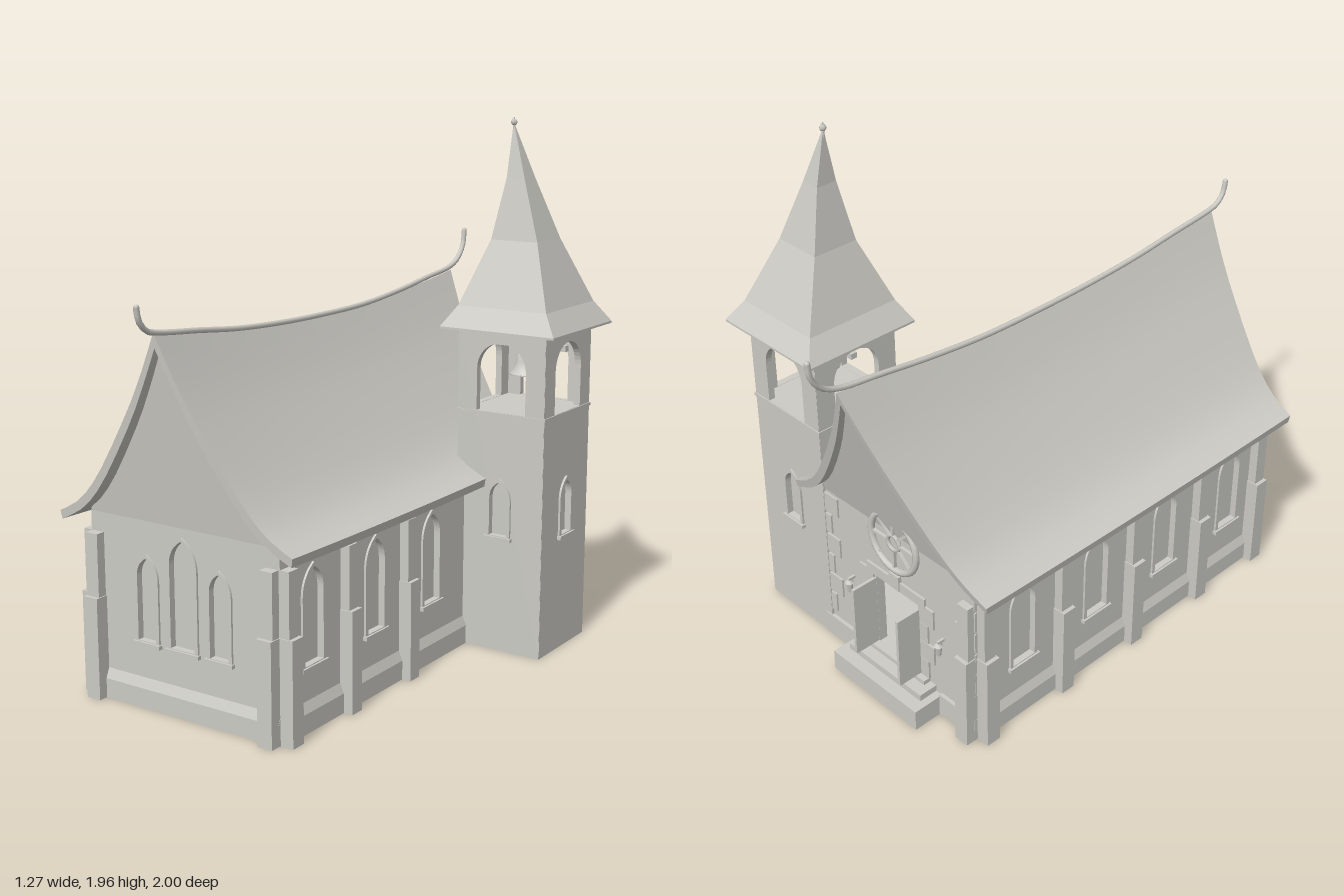
import * as THREE from 'three';
import { toCreasedNormals } from 'three/addons/utils/BufferGeometryUtils.js';

const stone = new THREE.MeshStandardMaterial({ color: 0xcccbc5 });
stone.name = 'pale stone';
const CX = -0.145; // nave centre line

function add(parent, name, geo, x = 0, y = 0, z = 0) {
  const m = new THREE.Mesh(geo, stone);
  m.name = name;
  m.position.set(x, y, z);
  parent.add(m);
  return m;
}
const box = (p, name, w, h, d, x, y, z) => add(p, name, new THREE.BoxGeometry(w, h, d), x, y, z);
const extrude = (shape, depth) =>
  new THREE.ExtrudeGeometry(shape, { depth, bevelEnabled: false, curveSegments: 10 });

// Closed skin over a row of rings; ends are closed by strips
function loft(rings) {
  const pos = [];
  const quad = (a, b, c, d) => pos.push(...a, ...b, ...c, ...a, ...c, ...d);
  const m = rings[0].length;
  for (let j = 0; j < rings.length - 1; j++)
    for (let i = 0; i < m; i++) {
      const k = (i + 1) % m;
      quad(rings[j][i], rings[j][k], rings[j + 1][k], rings[j + 1][i]);
    }
  const first = rings[0], last = rings[rings.length - 1];
  for (let i = 0; i < m / 2 - 1; i++) {
    quad(last[i], last[i + 1], last[m - 2 - i], last[m - 1 - i]);
    quad(first[m - 1 - i], first[m - 2 - i], first[i + 1], first[i]);
  }
  const g = new THREE.BufferGeometry();
  g.setAttribute('position', new THREE.Float32BufferAttribute(pos, 3));
  g.computeVertexNormals();
  return g;
}

// Pointed-arch outline standing on (x, y)
function lancet(x, y, w, h, Type = THREE.Shape) {
  const s = new Type(), r = w / 2;
  s.moveTo(x - r, y);
  s.lineTo(x + r, y);
  s.lineTo(x + r, y + h - 0.85 * w);
  s.quadraticCurveTo(x + r, y + h - 0.3 * w, x, y + h);
  s.quadraticCurveTo(x - r, y + h - 0.3 * w, x - r, y + h - 0.85 * w);
  s.closePath();
  return s;
}

function rect(x0, y0, x1, y1, Type = THREE.Shape) {
  return new Type([[x0, y0], [x1, y0], [x1, y1], [x0, y1]].map(p => new THREE.Vector2(...p)));
}

// Wall whose outer face looks along local +z; windows are [x, y, w, h]
function wall(parent, name, w, h, { windows = [], holes = [], plinth = false, thick = 0.035 }, x, z, rot) {
  const g = new THREE.Group();
  g.name = name;
  g.position.set(x, 0, z);
  g.rotation.y = rot;
  parent.add(g);
  const shape = rect(-w / 2, 0, w / 2, h);
  shape.holes.push(...holes);
  const e = 0.014;
  for (const [wx, wy, ww, wh] of windows) {
    shape.holes.push(lancet(wx, wy + e, ww - 2 * e, wh - 2 * e, THREE.Path));
    const frame = lancet(wx, wy, ww, wh);
    frame.holes.push(lancet(wx, wy + e, ww - 2 * e, wh - 2 * e, THREE.Path));
    add(g, 'windowFrame', extrude(frame, 0.008));
    add(g, 'windowPane', extrude(lancet(wx, wy, ww, wh), 0.005), 0, 0, -0.022);
    box(g, 'windowSill', ww + 0.012, 0.014, 0.016, wx, wy + 0.004, 0.008);
  }
  add(g, name + 'Panel', extrude(shape, thick), 0, 0, -thick);
  if (plinth) {
    const p = new THREE.Shape([[0, 0], [0.015, 0], [0.015, 0.07], [0, 0.105]].map(q => new THREE.Vector2(...q)));
    add(g, 'plinth', extrude(p, w).rotateY(-Math.PI / 2), w / 2, 0, 0);
  }
  return g;
}

// Two-stage buttress standing on the outer face of a wall group
function buttress(g, x) {
  box(g, 'buttressLower', 0.058, 0.365, 0.065, x, 0.1825, 0.0175);
  box(g, 'buttressUpper', 0.05, 0.225, 0.05, x, 0.4775, 0.01);
}

function nave(root) {
  const H = 0.66, half = 0.4, zF = 0.805, zB = -0.68;
  const front = wall(root, 'frontWall', 2 * half, H, {
    plinth: true,
    windows: [[0, 0.225, 0.13, 0.405], [-0.155, 0.225, 0.105, 0.32], [0.155, 0.225, 0.105, 0.32]],
  }, CX, zF, 0);
  const mid = (zF + zB) / 2, len = zF - zB - 0.02;
  const bays = [0.63, 0.265, -0.1, -0.465];
  const piers = [0.78, 0.445, 0.08, -0.285, -0.652];
  for (const s of [1, -1]) {
    const n = s > 0 ? 3 : 4;
    const side = wall(root, s > 0 ? 'leftWall' : 'rightWall', len, H, {
      plinth: true,
      windows: bays.slice(0, n).map(z => [-s * (z - mid), 0.215, 0.13, 0.36]),
    }, CX + s * half, mid, s * Math.PI / 2);
    piers.slice(0, n + (s < 0 ? 1 : 0)).forEach(z => buttress(side, -s * (z - mid)));
    buttress(front, s * 0.37);
  }
  const back = wall(root, 'backWall', 2 * half, H, {
    holes: [rect(-0.11, 0.12, 0.11, 0.43, THREE.Path)],
  }, CX, zB, Math.PI);
  buttress(back, 0.37);
  for (const s of [1, -1]) {
    // Open door leaves, stone blocks and lanterns
    box(back, 'doorLeaf', 0.012, 0.285, 0.105, s * 0.116, 0.268, 0.053);
    for (let i = 0; i < 4; i++)
      box(back, 'doorQuoin', i % 2 ? 0.075 : 0.045, 0.078, 0.012, s * (i % 2 ? 0.155 : 0.14), 0.16 + i * 0.08, 0.002);
    for (let i = 0; i < 6; i++)
      box(back, 'cornerQuoin', i % 2 ? 0.1 : 0.06, 0.08, 0.012, s * (i % 2 ? 0.35 : 0.37), 0.16 + i * 0.09, 0.001);
    box(back, 'lanternBracket', 0.01, 0.01, 0.03, s * 0.235, 0.345, 0.014);
    add(back, 'lantern', new THREE.CylinderGeometry(0.014, 0.009, 0.04, 6), s * 0.235, 0.31, 0.024);
    add(back, 'lanternCap', new THREE.ConeGeometry(0.018, 0.018, 6), s * 0.235, 0.339, 0.024);
    box(back, 'plinthStub', 0.18, 0.09, 0.02, s * 0.31, 0.045, 0.004);
  }
  box(back, 'lintel', 0.3, 0.04, 0.014, 0, 0.45, 0.002);
  box(back, 'keystone', 0.05, 0.06, 0.02, 0, 0.465, 0.004);
  // Rose window
  add(back, 'roseRing', new THREE.TorusGeometry(0.115, 0.013, 8, 32), 0, 0.63, 0.006);
  add(back, 'roseHub', new THREE.TorusGeometry(0.03, 0.008, 6, 16), 0, 0.63, 0.006);
  for (let i = 0; i < 8; i++) {
    const a = i * Math.PI / 4;
    box(back, 'roseSpoke', 0.085, 0.01, 0.016, Math.cos(a) * 0.072, 0.63 + Math.sin(a) * 0.072, 0.004).rotation.z = a;
  }
  // Entrance steps and floor
  [[0.44, 0.08, 0.125], [0.38, 0.105, 0.075], [0.32, 0.122, 0.03]].forEach(([w, h, d]) =>
    box(back, 'step', w, h, d, 0, h / 2, d / 2));
  box(root, 'floor', 0.77, 0.01, 1.45, CX, 0.115, mid);

  // Gables lean outward under the roof ends
  const gable = new THREE.Shape([[-0.4, H], [0.4, H], [0.39, 0.685], [0.27, 0.81], [0.14, 1.005], [0.065, 1.15],
    [0, 1.285], [-0.065, 1.15], [-0.14, 1.005], [-0.27, 0.81], [-0.39, 0.685]].map(p => new THREE.Vector2(...p)));
  for (const [g, lean] of [[front, 0.13], [back, 0.28]]) {
    const geo = extrude(gable, 0.03), p = geo.attributes.position;
    for (let i = 0; i < p.count; i++) p.setZ(i, p.getZ(i) - 0.03 + lean * (p.getY(i) - H));
    geo.computeVertexNormals();
    add(g, 'gable', geo);
  }
}

function naveRoof(root) {
  // Half profiles from ridge to eave, as [distance from centre, height]
  const curve = pts => new THREE.SplineCurve(pts.map(p => new THREE.Vector2(...p))).getPoints(12);
  const top = curve([[0, 1.325], [0.075, 1.17], [0.155, 1.03], [0.29, 0.825], [0.39, 0.715], [0.49, 0.657]]);
  const low = curve([[0, 1.275], [0.06, 1.15], [0.138, 1.005], [0.272, 0.8], [0.375, 0.688], [0.485, 0.627]]);
  const across = pts => [...pts.slice().reverse().map(p => [p.x, p.y]), ...pts.slice(1).map(p => [-p.x, p.y])];
  const section = [...across(top), ...across(low).reverse()];
  const rings = [];
  for (let j = 0; j <= 20; j++) {
    const v = j / 20, sag = 0.063 * (1 - ((v - 0.5) / 0.5) ** 2);
    rings.push(section.map(([dx, y]) => {
      const t = (y - 0.655) / 0.67;
      const z0 = -0.72 - 0.165 * t, z1 = 0.86 + 0.06 * t;
      return [CX + dx, y - sag * (0.12 + 0.88 * Math.max(t, 0)), z0 + (z1 - z0) * v];
    }));
  }
  add(root, 'naveRoof', toCreasedNormals(loft(rings), 0.5));
  // Ridge rail with curled ends
  const path = [[0.995, 1.415], [0.985, 1.37], [0.95, 1.335], [0.9, 1.323], [0.7, 1.302], [0.5, 1.28], [0.25, 1.266],
    [0, 1.262], [-0.25, 1.266], [-0.5, 1.288], [-0.7, 1.315], [-0.88, 1.34], [-0.94, 1.368], [-0.98, 1.42], [-0.988, 1.475]];
  const rail = new THREE.CatmullRomCurve3(path.map(([z, y]) => new THREE.Vector3(CX, y, z)));
  add(root, 'ridgeRail', new THREE.TubeGeometry(rail, 80, 0.01, 8));
  for (const [z, y] of [path[0], path[path.length - 1]])
    add(root, 'ridgeTip', new THREE.SphereGeometry(0.01, 8, 6), CX, y, z);
}

function tower(root) {
  const g = new THREE.Group(), r = 0.178, tx = 0.402, tz = -0.512;
  g.name = 'bellTower';
  root.add(g);
  ['front', 'left', 'back', 'right'].forEach((side, i) => {
    const a = i * Math.PI / 2;
    const arch = new THREE.Path();
    arch.moveTo(-0.1, 0.905);
    arch.lineTo(0.1, 0.905);
    arch.lineTo(0.1, 1.06);
    arch.absarc(0, 1.06, 0.1, 0, Math.PI, false);
    arch.closePath();
    wall(g, side + 'TowerWall', 2 * r - 0.002, 1.2, {
      thick: 0.025, holes: [arch], windows: side === 'right' ? [] : [[0, 0.43, 0.1, 0.23]],
    }, tx + Math.sin(a) * r, tz + Math.cos(a) * r, a);
  });
  box(g, 'belfryFloor', 0.364, 0.012, 0.364, tx, 0.898, tz);
  box(g, 'bellBeam', 0.34, 0.022, 0.025, tx, 1.132, tz);
  // Bell
  const bell = [[0, 0.1], [0.022, 0.097], [0.03, 0.085], [0.033, 0.05], [0.042, 0.02], [0.056, 0.004], [0.056, 0],
    [0.046, 0.003], [0.028, 0.05], [0, 0.085]].map(p => new THREE.Vector2(...p)).reverse();
  add(g, 'bell', toCreasedNormals(new THREE.LatheGeometry(bell, 24), 0.7), tx, 1.02, tz);
  add(g, 'bellClapper', new THREE.SphereGeometry(0.012, 10, 8), tx, 1.022, tz);
  // Bent spire as rings: [y, x0, x1, z0, z1]
  const rings = [
    [1.2, 0.17, 0.632, -0.75, -0.287], [1.208, 0.17, 0.632, -0.75, -0.287], [1.285, 0.222, 0.58, -0.7, -0.328],
    [1.52, 0.302, 0.49, -0.597, -0.42], [1.74, 0.339, 0.412, -0.54, -0.46], [1.925, 0.344, 0.349, -0.498, -0.493],
  ].map(([y, x0, x1, z0, z1]) => [[x0, y, z1], [x1, y, z1], [x1, y, z0], [x0, y, z0]]);
  add(g, 'spire', loft(rings));
  add(g, 'finialPin', new THREE.CylinderGeometry(0.003, 0.005, 0.05, 8), 0.346, 1.93, -0.495);
  add(g, 'finialKnob', new THREE.OctahedronGeometry(0.013, 1), 0.346, 1.937, -0.495);
}

export function createModel() {
  const root = new THREE.Group();
  root.name = 'chapel';
  nave(root);
  naveRoof(root);
  tower(root);
  return root;
}
